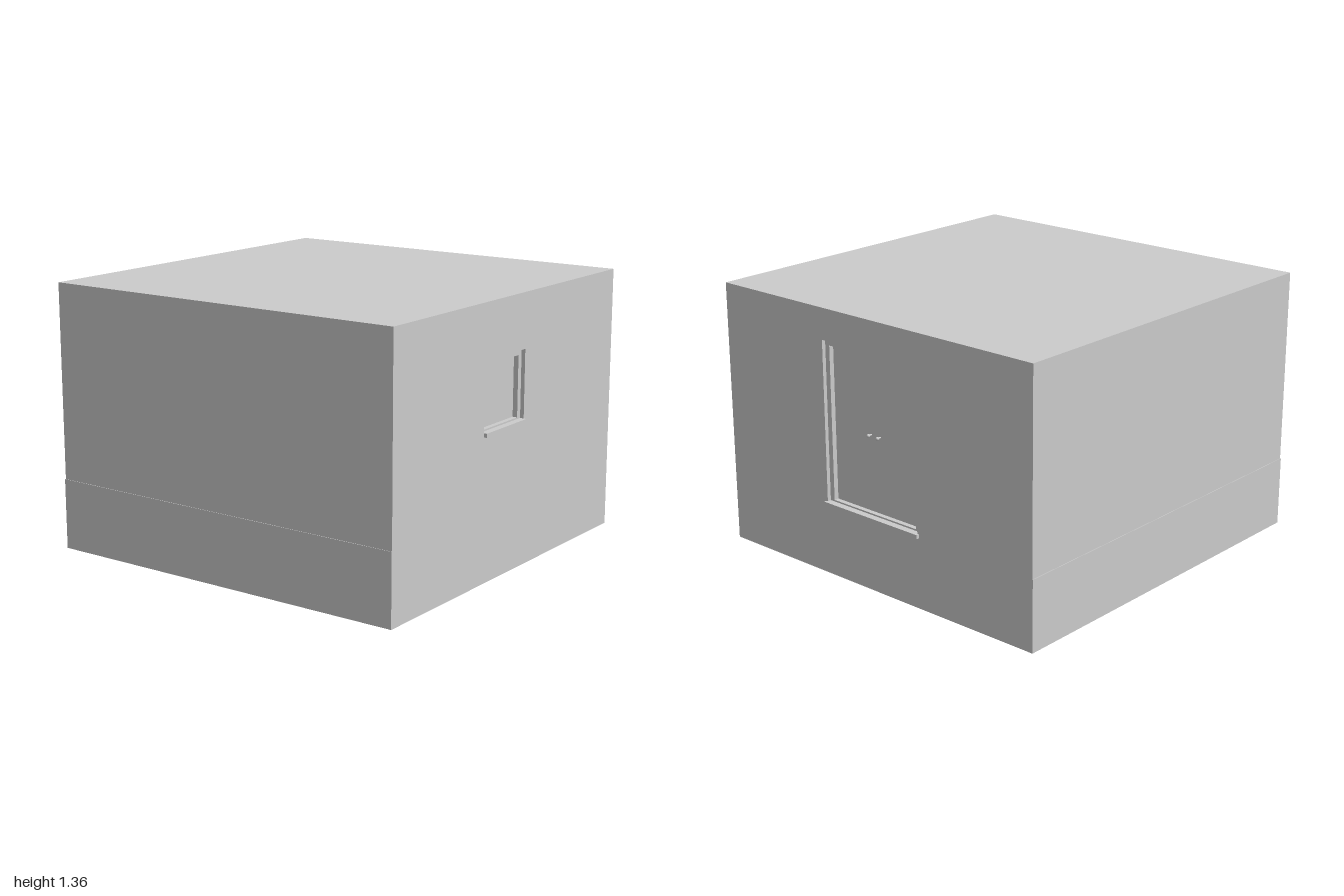
import * as THREE from 'three';

const MIN = -1, MAX = 0.985, THICK = 0.12;
const BASE = 0.36, ROOF = 1.25, TOP = 1.355;
const material = new THREE.MeshStandardMaterial({ color: 0xcccccc });

function add(parent, name, geometry, x = 0, y = 0, z = 0) {
  const mesh = new THREE.Mesh(geometry, material);
  mesh.name = name;
  mesh.position.set(x, y, z);
  parent.add(mesh);
  return mesh;
}

// Box given by its lower and upper corners
function block(parent, name, [x0, y0, z0], [x1, y1, z1]) {
  return add(parent, name, new THREE.BoxGeometry(x1 - x0, y1 - y0, z1 - z0),
    (x0 + x1) / 2, (y0 + y1) / 2, (z0 + z1) / 2);
}

// Rectangular plate with a rectangular hole; rectangles are [x0, y0, x1, y1]
function plate(outer, inner, depth) {
  const corners = ([x0, y0, x1, y1]) => [[x0, y0], [x1, y0], [x1, y1], [x0, y1]]
    .map(([x, y]) => new THREE.Vector2(x, y));
  const shape = new THREE.Shape(corners(outer));
  shape.holes.push(new THREE.Path(corners(inner).reverse()));
  return new THREE.ExtrudeGeometry(shape, { depth, bevelEnabled: false });
}

// Wall with a framed opening, outer face at z = 0
function openedWall(name, wall, hole, inset, sillOverhang) {
  const group = new THREE.Group();
  group.name = name;
  const [x0, y0, x1, y1] = hole;
  const inner = [x0 + inset, y0 + 0.012, x1 - inset, y1 - inset];
  add(group, name + 'Wall', plate(wall, hole, THICK), 0, 0, -THICK);
  add(group, name + 'Frame', plate(hole, inner, 0.05), 0, 0, -0.07);
  block(group, name + 'Panel', [inner[0], inner[1], -0.07], [inner[2], inner[3], -0.045]);
  block(group, name + 'Sill', [x0 - sillOverhang, y0 - 0.016, -0.045],
    [x1 + sillOverhang, y0 + 0.004, 0.015]);
  return group;
}

export function createModel() {
  const model = new THREE.Group();
  model.name = 'house';

  // Foundation ring and raised floor
  const ring = plate([MIN, -MAX, MAX, -MIN],
    [MIN + THICK, -MAX + THICK, MAX - THICK, -MIN - THICK], BASE);
  add(model, 'foundation', ring).rotation.x = -Math.PI / 2;
  block(model, 'floor', [MIN + THICK, 0.175, MIN + THICK], [MAX - THICK, BASE, MAX - THICK]);

  // Walls, set back a hair on the foundation at the back and right
  const edge = MIN + 0.003;
  block(model, 'backWall', [edge, BASE, edge], [MAX, ROOF, edge + THICK]);
  block(model, 'rightWall', [edge, BASE, edge + THICK], [edge + THICK, ROOF, MAX - THICK]);
  block(model, 'roof', [edge, ROOF, edge], [MAX, TOP, MAX]);

  // Front wall with window
  const front = openedWall('window', [edge, BASE, MAX, ROOF], [-0.25, 0.735, 0.11, 1.08], 0.028, 0);
  front.position.z = MAX;
  model.add(front);

  // Left wall with door and its pair of knobs
  const side = openedWall('door', [-MAX + THICK, BASE, -edge - THICK, ROOF],
    [-0.305, 0.376, 0.297, 1.197], 0.027, 0.01);
  for (const x of [-0.035, 0.025]) {
    const knob = new THREE.Group();
    knob.name = 'doorKnob';
    add(knob, 'knobStem', new THREE.CylinderGeometry(0.004, 0.004, 0.02, 12), 0, 0, 0.01)
      .rotation.x = Math.PI / 2;
    add(knob, 'knobHead', new THREE.SphereGeometry(0.009, 16, 10), 0, 0, 0.022);
    knob.position.set(x, 0.776, -0.046);
    side.add(knob);
  }
  side.rotation.y = Math.PI / 2;
  side.position.x = MAX;
  model.add(side);

  return model;
}
